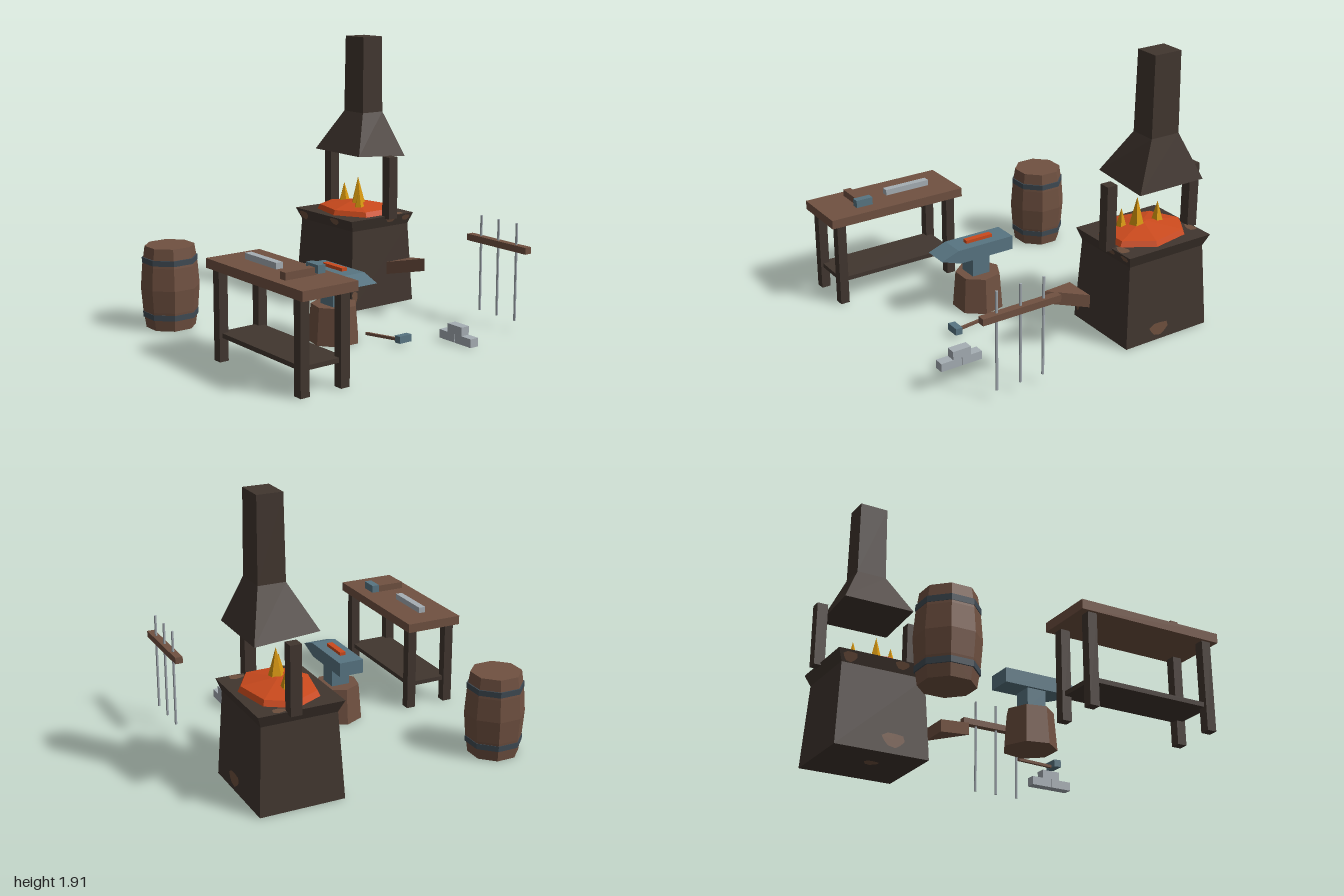
import * as THREE from 'three';

const mat = (name, color, extra = {}) => {
  const m = new THREE.MeshStandardMaterial({ color, flatShading: true, ...extra });
  m.name = name;
  return m;
};

export function createModel() {
  const root = new THREE.Group();
  root.name = 'smithy';
  const wood = mat('wood', 0x705141);
  const dark = mat('sootyStone', 0x41362f);
  const rust = mat('rust', 0x6d4f3d, { side: THREE.DoubleSide });
  const steel = mat('blueSteel', 0x587582);
  const iron = mat('hoopIron', 0x3f4a53);
  const grey = mat('brightMetal', 0xa6aeb4);
  const ember = mat('ember', 0xcb4a1d);
  const flame = mat('flame', 0xd8980e);

  const add = (name, geo, material, x = 0, y = 0, z = 0, parent = root) => {
    const m = new THREE.Mesh(geo, material);
    m.name = name;
    m.position.set(x, y, z);
    parent.add(m);
    return m;
  };
  // box given by its min and max on each axis
  const box = (name, material, x0, x1, y0, y1, z0, z1, parent = root) =>
    add(name, new THREE.BoxGeometry(x1 - x0, y1 - y0, z1 - z0), material,
      (x0 + x1) / 2, (y0 + y1) / 2, (z0 + z1) / 2, parent);
  const group = (name) => {
    const g = new THREE.Group();
    g.name = name;
    root.add(g);
    return g;
  };
  // closed solid through rings of [x, y, z], each counterclockwise from above
  const loft = (rings) => {
    const pos = [], n = rings[0].length, last = rings[rings.length - 1];
    const tri = (...p) => p.forEach((v) => pos.push(...v));
    for (let k = 0; k + 1 < rings.length; k++) {
      const lo = rings[k], hi = rings[k + 1];
      for (let i = 0; i < n; i++) {
        const j = (i + 1) % n;
        tri(lo[i], lo[j], hi[j]);
        tri(lo[i], hi[j], hi[i]);
      }
    }
    for (let i = 1; i + 1 < n; i++) {
      tri(last[0], last[i], last[i + 1]);
      tri(rings[0][0], rings[0][i + 1], rings[0][i]);
    }
    const g = new THREE.BufferGeometry();
    g.setAttribute('position', new THREE.Float32BufferAttribute(pos, 3));
    g.computeVertexNormals();
    return g;
  };
  // rectangular ring, optionally with a different height at the back
  const rect = (x0, x1, z0, z1, y, yBack = y) =>
    [[x0, y, z1], [x1, y, z1], [x1, yBack, z0], [x0, yBack, z0]];

  // forge body with flared rim
  const forge = group('forge');
  add('forgeBody', loft([
    rect(-0.957, -0.295, -0.943, -0.376, 0),
    rect(-0.922, -0.322, -0.913, -0.408, 0.57),
    rect(-0.957, -0.295, -0.943, -0.376, 0.65),
  ]), dark, 0, 0, 0, forge);

  // rust patches lying on the forge surfaces
  const patch = (x, y, z, w, h, rx, ry = 0) => {
    const g = new THREE.CircleGeometry(0.5, 9);
    const p = g.attributes.position;
    for (let i = 1; i < p.count; i++) {
      const s = 1 + 0.14 * Math.sin(((i - 1) % 9) * 2.1);
      p.setXY(i, p.getX(i) * s * w, p.getY(i) * s * h);
    }
    const m = add('rustPatch', g, rust, x, y, z, forge);
    m.rotation.set(rx, ry, 0, 'YXZ');
  };
  const wall = -0.056, rim = 0.38, H = Math.PI / 2;
  patch(-0.55, 0.095, -0.378, 0.16, 0.1, wall);
  patch(-0.87, 0.607, -0.388, 0.1, 0.07, rim);
  patch(-0.5, 0.62, -0.383, 0.1, 0.055, rim);
  patch(-0.56, 0.08, -0.943, 0.15, 0.09, wall, Math.PI);
  patch(-0.297, 0.1, -0.41, 0.05, 0.09, wall, H);
  patch(-0.304, 0.62, -0.74, 0.08, 0.05, rim, H);
  patch(-0.304, 0.62, -0.88, 0.07, 0.05, rim, H);
  patch(-0.6, -0.002, -0.6, 0.1, 0.08, H);
  patch(-0.335, 0.653, -0.82, 0.07, 0.1, -H);
  patch(-0.92, 0.653, -0.79, 0.06, 0.1, -H);

  // ember bed and flames
  const bed = [[-0.93, -0.68], [-0.83, -0.48], [-0.56, -0.42], [-0.345, -0.55],
    [-0.35, -0.775], [-0.55, -0.9], [-0.82, -0.85]];
  const bedRing = (s, y) => bed.map(([x, z]) => [-0.62 + (x + 0.62) * s, y, -0.66 + (z + 0.66) * s]);
  add('emberBed', loft([bedRing(1, 0.65), bedRing(0.93, 0.685), bedRing(0.08, 0.728)]), ember, 0, 0, 0, forge);
  [[-0.74, -0.66, 0.84, 0.045], [-0.573, -0.655, 0.905, 0.057], [-0.49, -0.6, 0.825, 0.04]]
    .forEach(([x, z, top, r]) =>
      add('flame', new THREE.ConeGeometry(r, top - 0.69, 5), flame, x, (top + 0.69) / 2, z, forge));

  // side posts, hood and chimney
  for (const x of [-0.963, -0.289]) box('hoodPost', dark, x - 0.038, x + 0.038, 0.635, 1.08, -0.755, -0.68, forge);
  add('hoodAndChimney', loft([
    rect(-0.88, -0.373, -0.925, -0.503, 1.087, 1.055),
    rect(-0.735, -0.52, -0.835, -0.655, 1.37),
    rect(-0.728, -0.525, -0.83, -0.662, 1.91),
  ]), dark, 0, 0, 0, forge);

  // wedge shaped bellows, nose raised
  const bellows = (y) => [[-0.12, y, -0.552], [0.155, y + 0.06, -0.66], [-0.12, y, -0.772]];
  add('bellows', loft([bellows(0.285), bellows(0.372)]), wood);

  // barrel with hoops
  const barrel = group('barrel');
  barrel.position.set(-0.795, 0, 0.797);
  const k = 1 / Math.cos(Math.PI / 8);
  const stave = [[0, 0], [0.156, 0], [0.174, 0.13], [0.185, 0.283], [0.174, 0.435], [0.156, 0.565], [0, 0.565]];
  add('barrelBody', new THREE.LatheGeometry(stave.map(([r, y]) => new THREE.Vector2(r * k, y)), 8, Math.PI / 8),
    wood, 0, 0, 0, barrel);
  for (const y of [0.095, 0.47])
    add('barrelHoop', new THREE.CylinderGeometry(0.175 * k, 0.175 * k, 0.038, 8, 1, false, Math.PI / 8),
      iron, 0, y, 0, barrel);

  // workbench
  const bench = group('workbench');
  box('benchTop', wood, -0.01, 1, 0.588, 0.65, 0.598, 1, bench);
  for (const x of [0.04, 0.89])
    for (const z of [0.624, 0.917]) box('benchLeg', dark, x, x + 0.064, 0, 0.588, z, z + 0.064, bench);
  box('benchShelf', dark, 0.06, 0.935, 0.155, 0.185, 0.645, 0.96, bench);
  box('metalBar', grey, 0.16, 0.495, 0.65, 0.69, 0.775, 0.823, bench);
  box('benchHammerHandle', wood, 0.69, 0.745, 0.65, 0.697, 0.71, 0.935, bench);
  box('benchHammerHead', steel, 0.657, 0.778, 0.663, 0.715, 0.67, 0.722, bench);

  // anvil on a stump
  const anvil = group('anvil');
  add('stump', new THREE.CylinderGeometry(0.155, 0.175, 0.25, 7, 1, false, -H), wood, 0.157, 0.125, 0.125, anvil);
  box('anvilWaist', steel, 0.102, 0.236, 0.25, 0.39, 0.063, 0.195, anvil);
  const side = new THREE.Shape([[-0.066, 0.388], [0.345, 0.388], [0.49, 0.438], [0.36, 0.485], [-0.066, 0.485]]
    .map(([x, y]) => new THREE.Vector2(x, y)));
  add('anvilBody', new THREE.ExtrudeGeometry(side, { depth: 0.175, bevelEnabled: false }), steel, 0, 0, 0.037, anvil);
  box('hotBar', ember, 0.057, 0.26, 0.485, 0.507, 0.102, 0.143, anvil);

  // hammer lying on the floor
  const hammer = group('floorHammer');
  const handle = add('hammerHandle', new THREE.BoxGeometry(0.3, 0.018, 0.018), wood, 0.357, 0.022, -0.132, hammer);
  handle.rotation.set(0, 0.2, 0.05);
  const head = box('hammerHead', steel, 0.492, 0.543, 0.02, 0.067, -0.213, -0.113, hammer);
  head.rotation.z = 0.05;

  // stacked ingots
  const ingots = group('ingots');
  for (const [x0, x1, y] of [[0.54, 0.685, 0], [0.69, 0.84, 0], [0.62, 0.752, 0.058]])
    box('ingot', grey, x0, x1, y, y + 0.058, -0.523, -0.458, ingots);

  // tool rack with hanging rods
  const rack = group('toolRack');
  box('rackBar', wood, 0.272, 0.83, 0.545, 0.59, -1, -0.948, rack);
  for (const x of [0.384, 0.55, 0.72])
    add('rackRod', new THREE.CylinderGeometry(0.009, 0.009, 0.67, 6), grey, x, 0.4, -0.974, rack);

  return root;
}
